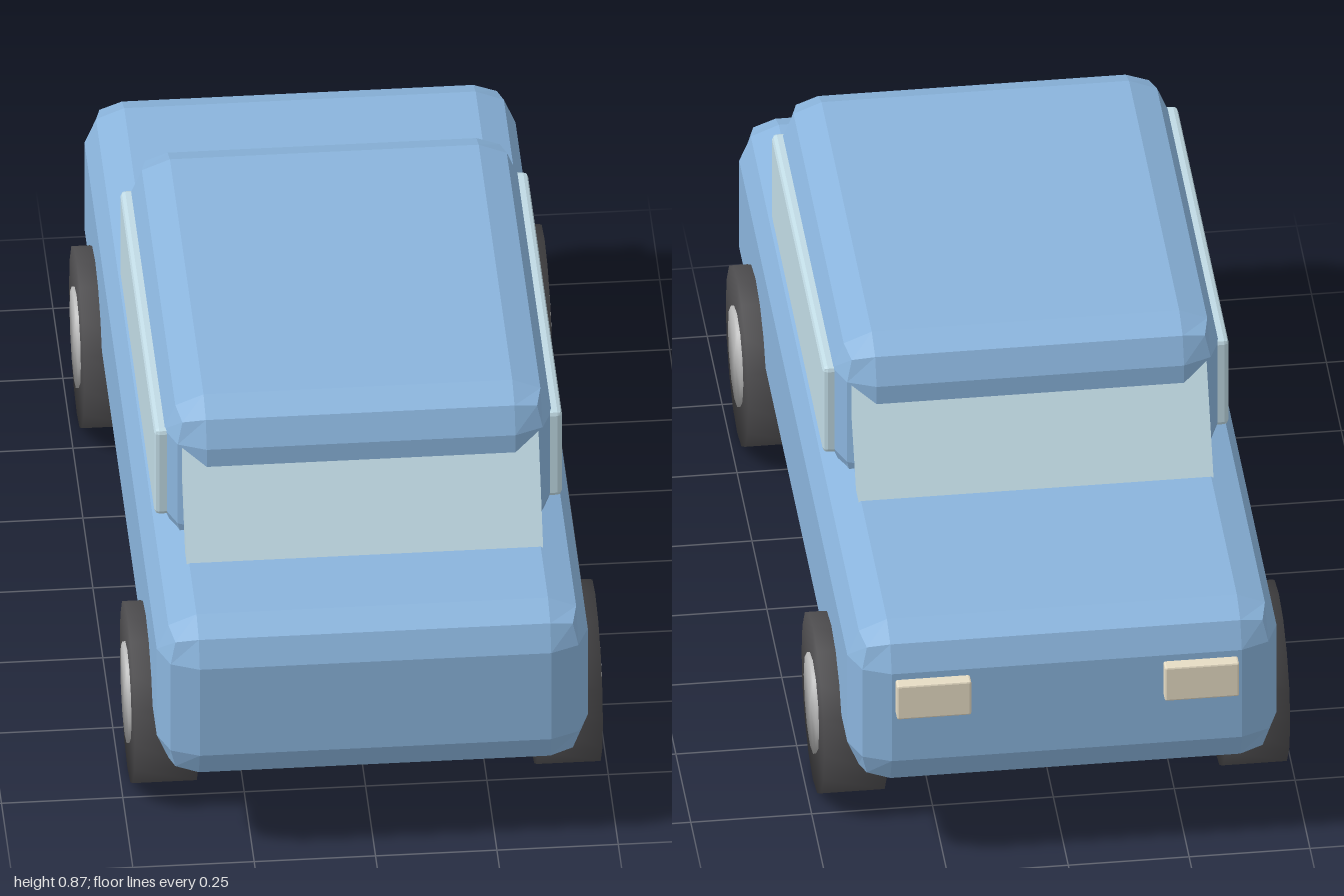
import * as THREE from 'three';
import { mergeVertices } from 'three/addons/utils/BufferGeometryUtils.js';
import { RoundedBoxGeometry } from 'three/addons/geometries/RoundedBoxGeometry.js';

const mat = (color, flatShading) => new THREE.MeshStandardMaterial({ color, flatShading });
const paint = mat(0x8ab4dc, true);
const glass = mat(0xc0dae4, true);
const lampMat = mat(0xe6dcc4, true);
const rubber = mat(0x4c4b4d, false);
const metal = mat(0xb8b8b8, false);

// Faceted rounded box given by its minimum and maximum corners
function block(name, min, max, radius, material) {
  const s = max.map((v, i) => v - min[i]);
  const mesh = new THREE.Mesh(new RoundedBoxGeometry(s[0], s[1], s[2], 1, radius), material);
  mesh.position.set(...min.map((v, i) => (v + max[i]) / 2));
  mesh.name = name;
  return mesh;
}

// Disc along x whose normals blend softly over the rim
function disc(name, radius, width, sides, material) {
  let g = new THREE.CylinderGeometry(radius, radius, width, sides);
  g.rotateZ(Math.PI / 2);
  g.deleteAttribute('normal');
  g.deleteAttribute('uv');
  g = mergeVertices(g);
  g.computeVertexNormals();
  const mesh = new THREE.Mesh(g, material);
  mesh.name = name;
  return mesh;
}

function wheel(name, x, z) {
  const group = new THREE.Group();
  group.name = name;
  group.add(disc('tire', 0.19, 0.132, 16, rubber), disc('hub', 0.105, 0.144, 12, metal));
  group.position.set(x, 0.19, z);
  return group;
}

// Sloping pane: a four-sided profile in (z, y) swept across the width
function slopedPane(name, dir) {
  const mid = 0.1375;
  const profile = [[0.612, 0.545], [0.567, 0.545], [0.437, 0.77], [0.476, 0.79]];
  const shape = new THREE.Shape(profile.map(([z, y]) => new THREE.Vector2(-(mid + dir * z), y)));
  const g = new THREE.ExtrudeGeometry(shape, { depth: 0.734, bevelEnabled: false });
  g.translate(0, 0, -0.367);
  g.rotateY(Math.PI / 2);
  const mesh = new THREE.Mesh(g, glass);
  mesh.name = name;
  return mesh;
}

export function createModel() {
  const car = new THREE.Group();
  car.name = 'car';

  // Body and cabin
  car.add(block('body', [-0.444, 0.19, -0.975], [0.444, 0.57, 1.0], 0.082, paint));
  car.add(block('cabin', [-0.4, 0.505, -0.365], [0.4, 0.867, 0.64], 0.082, paint));

  // Front and rear glass
  car.add(slopedPane('windshield', 1), slopedPane('rearWindow', -1));

  // Side glass, rear lamps and wheels
  for (const [side, s] of [['left', 1], ['right', -1]]) {
    const mid = (a, b) => [Math.min(s * a, s * b), Math.max(s * a, s * b)];
    const [w0, w1] = mid(0.36, 0.42);
    car.add(block(side + 'SideWindow', [w0, 0.578, -0.293], [w1, 0.79, 0.572], 0.01, glass));
    const [l0, l1] = mid(0.2, 0.354);
    car.add(block(side + 'RearLamp', [l0, 0.39, -1.0], [l1, 0.473, -0.95], 0.004, lampMat));
    car.add(wheel(side + 'FrontWheel', s * 0.416, 0.645));
    car.add(wheel(side + 'RearWheel', s * 0.416, -0.625));
  }
  return car;
}
